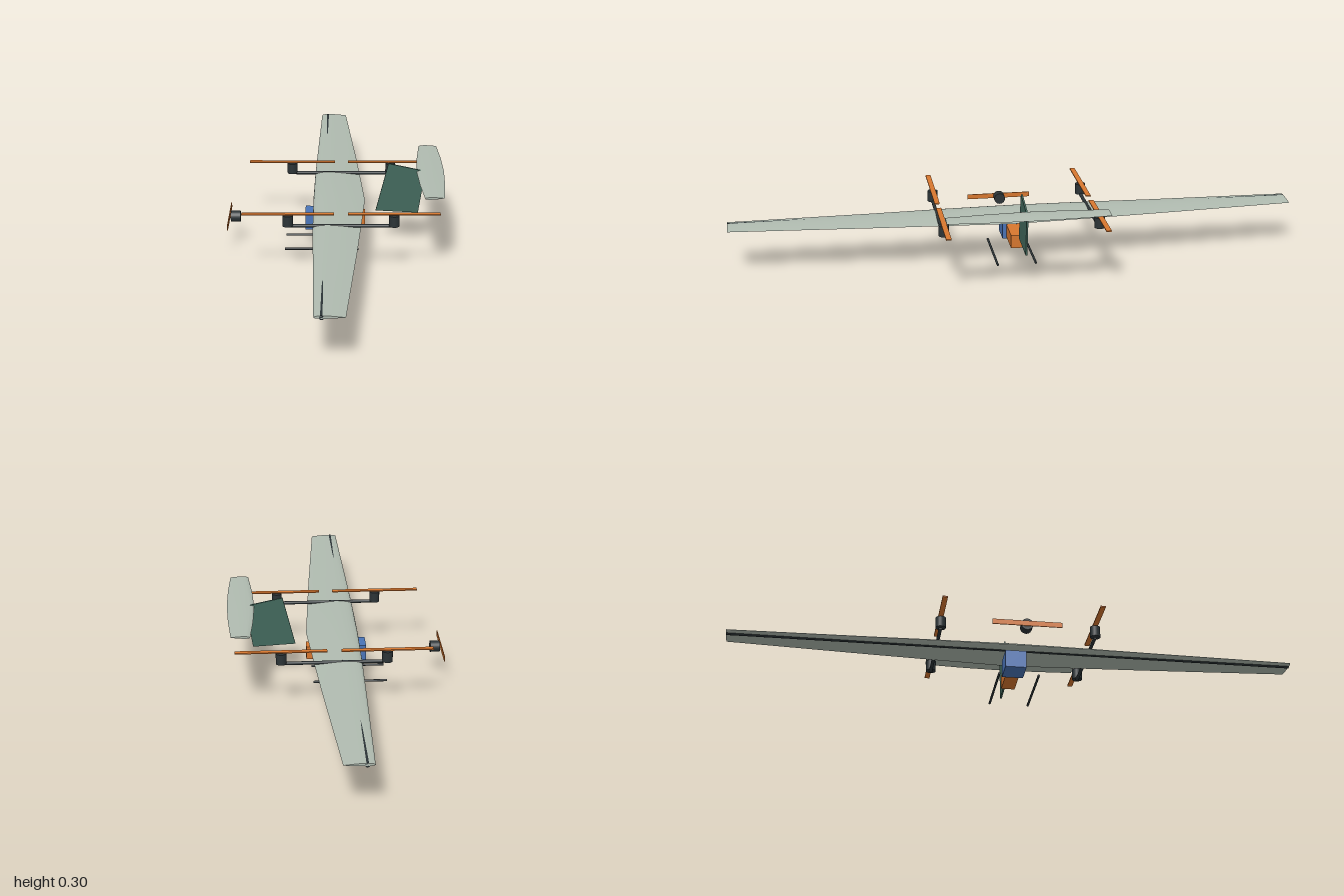
import * as THREE from 'three';
import { toCreasedNormals } from 'three/addons/utils/BufferGeometryUtils.js';

const paint = (color) => new THREE.MeshStandardMaterial({ color });

// Airfoil surface lofted along z; each station is [z, leading x, trailing x, top, bottom]
function loftWing(half, y, n = 14) {
  const mirrored = half.slice(1).reverse().map(([z, ...rest]) => [-z, ...rest]);
  const stations = [...mirrored, ...half];
  const ring = 2 * n;
  const pos = [], index = [];
  const shape = (c) => 10 * (0.2969 * Math.sqrt(c) - 0.126 * c - 0.3516 * c ** 2 + 0.2843 * c ** 3 - 0.1036 * c ** 4);
  for (const [z, le, te, top, bottom] of stations) {
    for (let j = 0; j < ring; j++) {
      const c = 0.5 + 0.5 * Math.cos((j / n) * Math.PI);
      pos.push(le + (te - le) * c, y + shape(c) * (j < n ? top : -bottom), z);
    }
  }
  const last = (stations.length - 1) * ring;
  for (let i = 0; i < last; i += ring) {
    for (let j = 0; j < ring; j++) {
      const a = i + j, b = i + (j + 1) % ring;
      index.push(a, b, a + ring, b, b + ring, a + ring);
    }
  }
  // Tip caps
  for (let j = 1; j < ring - 1; j++) {
    index.push(last, last + j, last + j + 1, 0, j + 1, j);
  }
  const geo = new THREE.BufferGeometry();
  geo.setAttribute('position', new THREE.Float32BufferAttribute(pos, 3));
  geo.setIndex(index);
  return toCreasedNormals(geo, Math.PI / 5);
}

export function createModel() {
  const model = new THREE.Group();
  model.name = 'aircraft';
  const skin = paint(0xb0bbb0), carbon = paint(0x2b3336), orange = paint(0xd8772f);
  const blue = paint(0x4a74b8), green = paint(0x42685c);

  const add = (name, geo, mat, x = 0, y = 0, z = 0) => {
    const mesh = new THREE.Mesh(geo, mat);
    mesh.name = name;
    mesh.position.set(x, y, z);
    model.add(mesh);
    return mesh;
  };
  const box = (name, w, h, d, mat, x, y, z) => add(name, new THREE.BoxGeometry(w, h, d), mat, x, y, z);
  const rod = (name, r, length, axis, x, y, z) => {
    const geo = new THREE.CylinderGeometry(r, r, length, 24);
    if (axis === 'x') geo.rotateZ(Math.PI / 2);
    if (axis === 'z') geo.rotateX(Math.PI / 2);
    return add(name, geo, carbon, x, y, z);
  };

  // Main wing and its full-span spar
  add('mainWing', loftWing([
    [0, -0.082, 0.1, 0.0145, 0.006],
    [0.25, -0.08, 0.085, 0.0115, 0.0055],
    [0.5, -0.075, 0.069, 0.0075, 0.005],
    [1, -0.064, 0.033, 0.0055, 0.004],
  ], 0.163), skin);
  rod('wingSpar', 0.0075, 2, 'z', -0.04, 0.162, 0);

  // Tailplane and fin
  const tail = add('tailplane', loftWing([
    [0, -0.048, 0.048, 0.006, 0.005],
    [0.14, -0.042, 0.044, 0.0055, 0.0045],
    [0.277, -0.03, 0.035, 0.0045, 0.0035],
  ], 0), skin, 0.329, 0.271, 0);
  tail.rotation.z = 0.03;
  const finShape = new THREE.Shape([
    [0.138, 0.125], [0.288, 0.117], [0.312, 0.272], [0.182, 0.3],
  ].map(([x, y]) => new THREE.Vector2(x, y)));
  add('fin', new THREE.ExtrudeGeometry(finShape, { depth: 0.006, bevelEnabled: false }), green, 0, 0, -0.003);

  // Lift booms, each with two upright motors and propellers, and landing skids
  for (const side of [-1, 1]) {
    const label = side > 0 ? 'Front' : 'Back';
    const z = side * 0.27;
    rod('liftBoom' + label, 0.006, 0.36, 'x', 0.016, 0.17, z);
    for (const x of [-0.164, 0.196]) {
      rod('liftMotor' + label, 0.018, 0.038, 'y', x, 0.189, z);
      box('liftPropeller' + label, 0.312, 0.004, 0.018, orange, x, 0.213, z);
    }
    rod('skid' + label, 0.004, 0.26, 'x', -0.052, 0.004, side * 0.068);
  }

  // Nose motor with its propeller
  rod('noseMotor', 0.02, 0.034, 'x', -0.358, 0.101, 0);
  box('nosePropeller', 0.003, 0.018, 0.234, orange, -0.38, 0.101, 0);

  // Battery and payload bays below the wing
  box('batteryBox', 0.092, 0.062, 0.074, blue, -0.064, 0.096, 0);
  box('payloadBox', 0.115, 0.047, 0.048, orange, 0.043, 0.0965, 0);

  return model;
}
